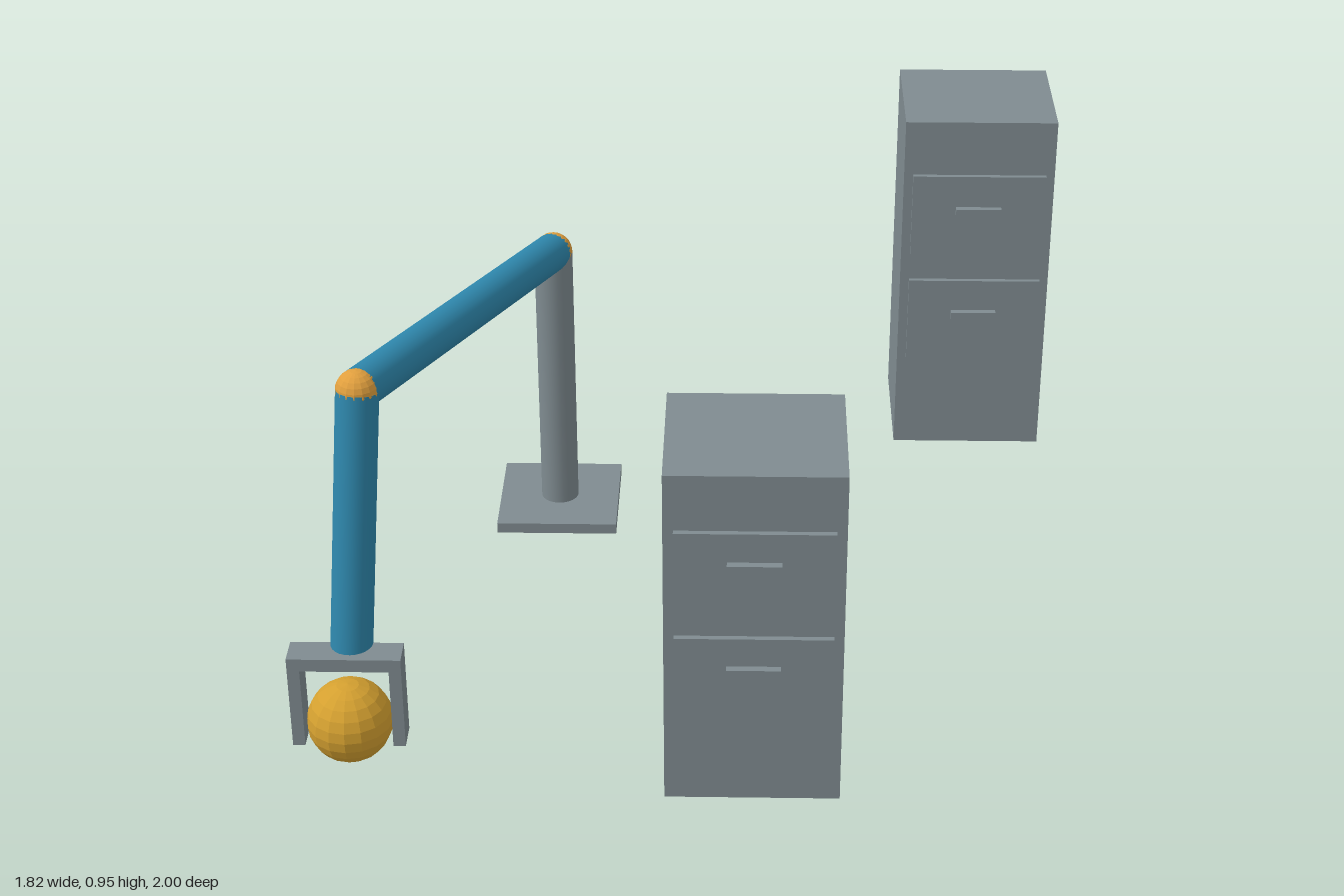
import * as THREE from 'three';

const paint = (name, color, flatShading = false) => {
  const m = new THREE.MeshStandardMaterial({ color, flatShading });
  m.name = name;
  return m;
};

export function createModel() {
  const grey = paint('steelGrey', 0x7f8b90);
  const blue = paint('armBlue', 0x2e86ab);
  const orange = paint('jointOrange', 0xe09f3e, true);
  const gold = paint('ballGold', 0xd4a030, true);

  const root = new THREE.Group();
  root.name = 'robotArmAndCabinets';

  const add = (parent, name, geometry, material, x, y, z) => {
    const mesh = new THREE.Mesh(geometry, material);
    mesh.name = name;
    mesh.position.set(x, y, z);
    parent.add(mesh);
    return mesh;
  };
  // Box given by its extents on each axis
  const box = (parent, name, [x0, x1], [y0, y1], [z0, z1]) =>
    add(parent, name, new THREE.BoxGeometry(x1 - x0, y1 - y0, z1 - z0), grey,
      (x0 + x1) / 2, (y0 + y1) / 2, (z0 + z1) / 2);
  // Cylinder between two points
  const rod = (parent, name, a, b, radius, material) => {
    const dir = b.clone().sub(a);
    const mid = a.clone().add(b).multiplyScalar(0.5);
    const mesh = add(parent, name, new THREE.CylinderGeometry(radius, radius, dir.length(), 24),
      material, mid.x, mid.y, mid.z);
    mesh.quaternion.setFromUnitVectors(new THREE.Vector3(0, 1, 0), dir.normalize());
  };

  // Filing cabinets: body, two raised drawer fronts and their handles
  const cabinet = (name, x, front, height, drawerHeight, drawerCentres) => {
    const g = new THREE.Group();
    g.name = name;
    root.add(g);
    box(g, 'cabinetBody', [x - 0.196, x + 0.196], [0, height], [front - 0.357, front]);
    for (const y of drawerCentres) {
      box(g, 'drawerFront', [x - 0.173, x + 0.173],
        [y - drawerHeight / 2, y + drawerHeight / 2], [front + 0.01, front + 0.023]);
      box(g, 'drawerHandle', [x - 0.059, x + 0.059],
        [y + 0.012, y + 0.031], [front + 0.021, front + 0.04]);
    }
  };
  cabinet('frontCabinet', 0.129, 0.96, 0.835, 0.202, [0.606, 0.34]);
  cabinet('backCabinet', 0.71, -0.643, 0.947, 0.234, [0.687, 0.385]);

  // Arm: base plate, column, two links and ball joints
  const arm = new THREE.Group();
  arm.name = 'robotArm';
  root.add(arm);
  const shoulder = new THREE.Vector3(-0.38, 0.737, -0.298);
  const elbow = new THREE.Vector3(-0.736, 0.883, 0.69);
  const wrist = new THREE.Vector3(-0.775, 0.247, 0.79);
  const r = 0.048;
  box(arm, 'basePlate', [-0.534, -0.226], [0, 0.028], [-0.452, -0.144]);
  rod(arm, 'column', new THREE.Vector3(shoulder.x, 0.028, shoulder.z), shoulder, r, grey);
  rod(arm, 'upperArm', shoulder, elbow, r, blue);
  rod(arm, 'forearm', elbow, wrist, r, blue);
  for (const [name, p] of [['shoulderJoint', shoulder], ['elbowJoint', elbow]])
    add(arm, name, new THREE.SphereGeometry(0.0485, 16, 12), orange, p.x, p.y, p.z);

  // Gripper: crossbar with a finger on each side
  const gripper = new THREE.Group();
  gripper.name = 'gripper';
  arm.add(gripper);
  const cx = -0.784, depth = [0.782, 0.852];
  box(gripper, 'crossbar', [cx - 0.128, cx + 0.128], [0.253, 0.285], depth);
  for (const s of [-1, 1]) {
    const xs = [cx + s * 0.128, cx + s * 0.1].sort((a, b) => a - b);
    box(gripper, 'finger', xs, [0.051, 0.253], depth);
  }

  // Ball held between the fingers
  add(root, 'ball', new THREE.SphereGeometry(0.098, 16, 12), gold, cx, 0.098, 0.816);
  return root;
}
